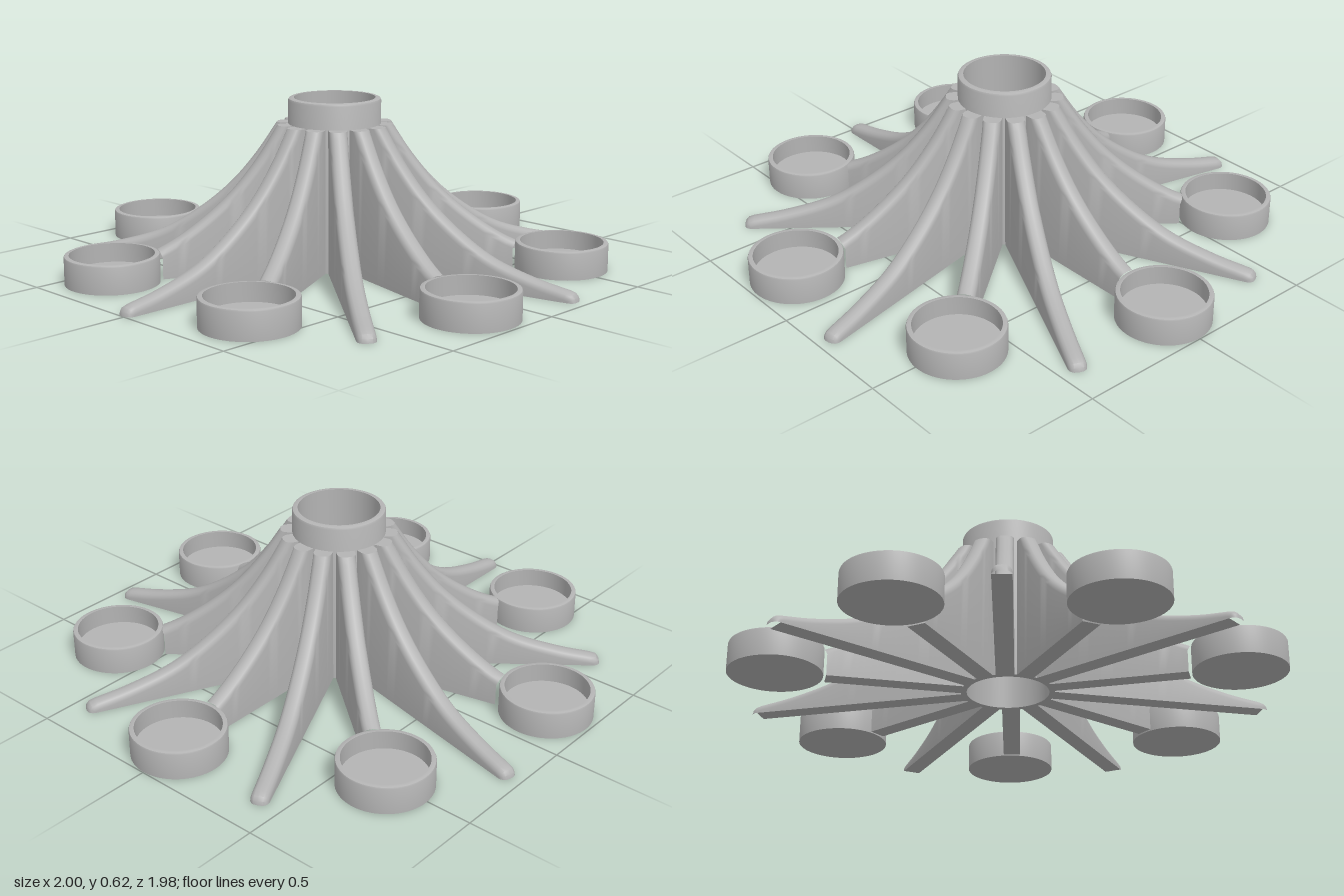
import * as THREE from 'three';
import { toCreasedNormals } from 'three/addons/utils/BufferGeometryUtils.js';

const grey = new THREE.MeshStandardMaterial({ color: 0xb3b3b3 });
grey.name = 'plain grey';

const COUNT = 7;
const HUB_TOP = 0.625, FIN_TOP = 0.53;
const CUP_RADIUS = 0.17, CUP_DISTANCE = 0.84, CUP_HEIGHT = 0.105;

// Concave upper edge of a fin: distance from the axis, height
const edge = new THREE.CatmullRomCurve3([
  [0.215, FIN_TOP], [0.3, 0.405], [0.4, 0.29], [0.53, 0.185], [0.66, 0.11],
  [0.83, 0.058], [0.95, 0.035],
].map(([x, y]) => new THREE.Vector3(x, y, 0)));

// Blade with a flat base, upright sides and a rounded upper edge
function finGeometry(isShort) {
  const width = 0.066, r = 0.026, arc = 8;
  const stations = [
    { x: 0.16, y: FIN_TOP, nx: 0, ny: 0 },
    { x: 0.215, y: FIN_TOP, nx: 1, ny: 0 },
  ];
  for (let i = 1; i <= 32; i++) {
    const p = edge.getPointAt(i / 32), t = edge.getTangentAt(i / 32);
    if (isShort && p.x > 0.69) break;
    stations.push({ x: p.x, y: p.y, nx: -t.y, ny: t.x });
  }
  // Rounded nose of the long blades
  if (!isShort) {
    stations.push({ x: 0.972, y: 0.028, nx: 0.5, ny: 0.86 });
    stations.push({ x: 0.983, y: 0.015, nx: 0.9, ny: 0.43 });
    stations.push({ x: 0.986, y: 0, nx: 1, ny: 0 });
  }

  const positions = [], index = [], n = arc + 3;
  for (const s of stations) {
    const ring = [];
    for (let j = 0; j <= arc; j++) {
      const a = -Math.PI / 2 + (Math.PI * j) / arc;
      const inset = r * (1 - Math.cos(a));
      const z = Math.sign(Math.round(a * 1e6)) * (width / 2 - r) + r * Math.sin(a);
      ring.push([s.x - s.nx * inset, Math.max(0, s.y - s.ny * inset), z]);
    }
    ring.unshift([ring[0][0], 0, -width / 2]);
    ring.push([ring[arc + 1][0], 0, width / 2]);
    ring.forEach((p) => positions.push(...p));
  }
  for (let i = 0; i < stations.length - 1; i++) {
    for (let j = 0; j < n; j++) {
      const k = (j + 1) % n;
      const a = i * n + j, d = i * n + k, b = a + n, c = d + n;
      index.push(a, d, b, d, c, b);
    }
  }
  const g = new THREE.BufferGeometry();
  g.setAttribute('position', new THREE.Float32BufferAttribute(positions, 3));
  g.setIndex(index);
  return toCreasedNormals(g, 0.6);
}

function lathe(points) {
  const profile = points.map(([x, y]) => new THREE.Vector2(x, y));
  return toCreasedNormals(new THREE.LatheGeometry(profile, 64), 0.5);
}

function addPart(parent, geometry, name) {
  const mesh = new THREE.Mesh(geometry, grey);
  mesh.name = name;
  parent.add(mesh);
  return mesh;
}

export function createModel() {
  const model = new THREE.Group();
  model.name = 'radialStand';
  const body = new THREE.Group();
  body.name = 'body';
  body.position.x = -0.013;
  model.add(body);

  // Open central tube with a softened rim
  addPart(body, lathe([
    [0.15, 0], [0.171, 0], [0.171, HUB_TOP - 0.01], [0.168, HUB_TOP - 0.003],
    [0.161, HUB_TOP], [0.15, HUB_TOP], [0.15, 0],
  ]), 'hubTube');

  const longFin = finGeometry(false);
  const shortFin = finGeometry(true);
  const cup = lathe([
    [0, 0], [CUP_RADIUS, 0], [CUP_RADIUS, CUP_HEIGHT - 0.007],
    [CUP_RADIUS - 0.002, CUP_HEIGHT - 0.002], [CUP_RADIUS - 0.007, CUP_HEIGHT],
    [0.152, CUP_HEIGHT], [0.152, 0.035], [0, 0.035],
  ]);

  // Alternate short arms carrying cups with long bare fins
  for (let i = 0; i < COUNT; i++) {
    const arm = new THREE.Group();
    arm.name = 'cupArm';
    arm.rotation.y = (i * 2 * Math.PI) / COUNT;
    addPart(arm, shortFin, 'shortFin').position.z = 0.009;
    addPart(arm, cup, 'cup').position.x = CUP_DISTANCE;
    body.add(arm);

    const foot = new THREE.Group();
    foot.name = 'footArm';
    foot.rotation.y = ((i + 0.5) * 2 * Math.PI) / COUNT;
    addPart(foot, longFin, 'longFin').position.z = 0.009;
    body.add(foot);
  }
  return model;
}
